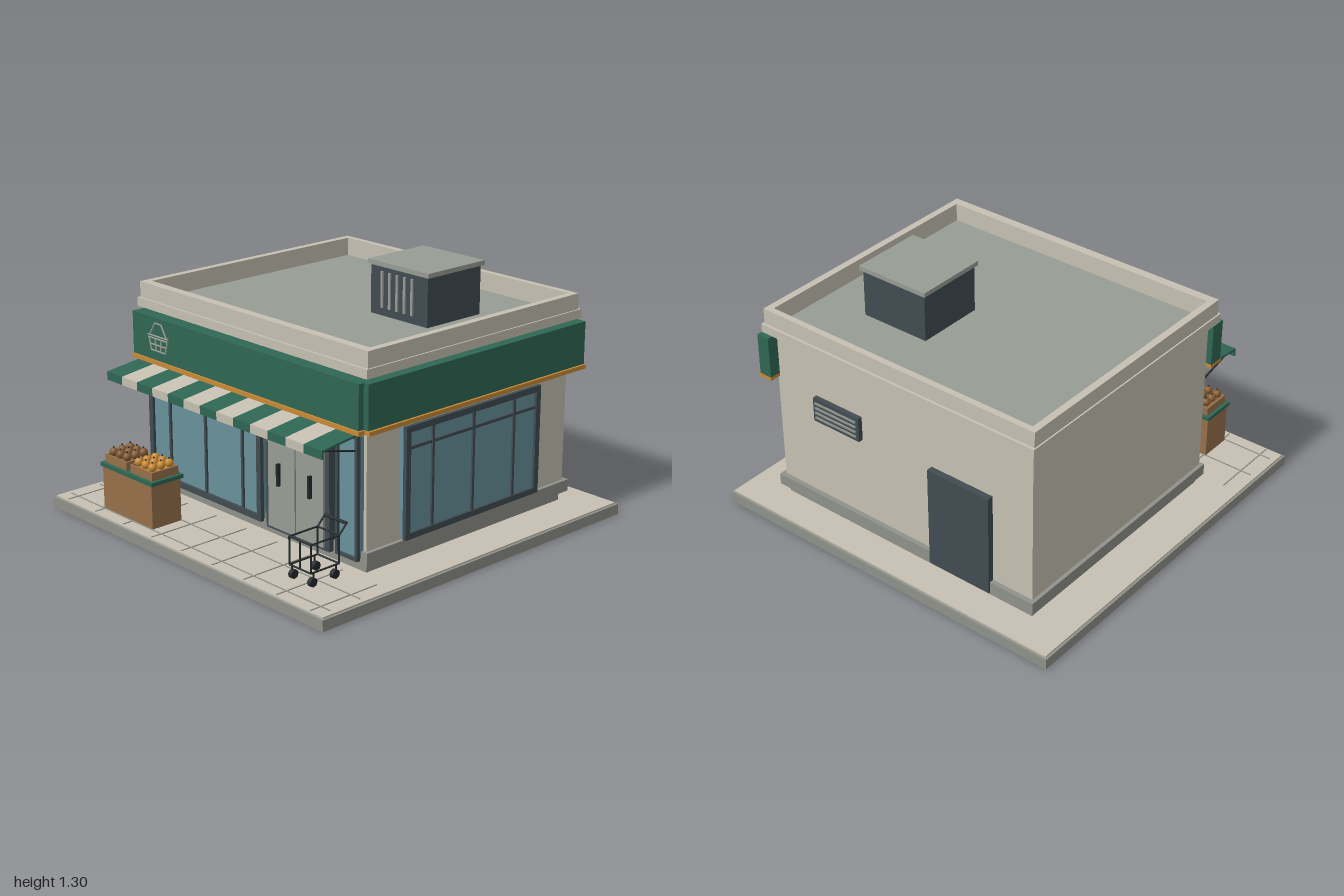
import * as THREE from 'three';

const mat = (name, color) => {
  const m = new THREE.MeshStandardMaterial({ color });
  m.name = name;
  return m;
};

export function createModel() {
  const M = {
    wall: mat('warm stone', 0xc6c0b2),
    concrete: mat('concrete grey', 0x8f918a),
    roof: mat('panel grey', 0x979c93),
    green: mat('shop green', 0x2f6654),
    orange: mat('orange trim', 0xc98a35),
    slate: mat('dark slate', 0x414c51),
    glass: mat('blue glass', 0x67909b),
    wood: mat('crate wood', 0x96704a),
    metal: mat('black metal', 0x24292c),
    brown: mat('brown fruit', 0x845c36),
  };
  const root = new THREE.Group();
  root.name = 'groceryShop';

  const group = (name, parent = root) => {
    const g = new THREE.Group();
    g.name = name;
    parent.add(g);
    return g;
  };
  const add = (parent, name, geo, material) => {
    const m = new THREE.Mesh(geo, material);
    m.name = name;
    parent.add(m);
    return m;
  };
  // Box given by its limits along each axis
  const box = (parent, name, material, x0, x1, y0, y1, z0, z1) => {
    const m = add(parent, name, new THREE.BoxGeometry(x1 - x0, y1 - y0, z1 - z0), material);
    m.position.set((x0 + x1) / 2, (y0 + y1) / 2, (z0 + z1) / 2);
    return m;
  };
  // Round bar between two points
  const bar = (parent, name, material, a, b, r = 0.005) => {
    const p = new THREE.Vector3(...a), q = new THREE.Vector3(...b);
    const m = add(parent, name, new THREE.CylinderGeometry(r, r, p.distanceTo(q), 8), material);
    m.position.copy(p).add(q).multiplyScalar(0.5);
    m.quaternion.setFromUnitVectors(new THREE.Vector3(0, 1, 0), q.sub(p).normalize());
    return m;
  };

  // Pavement slab with joints
  const ground = group('pavement');
  box(ground, 'slab', M.concrete, -1, 1, 0, 0.054, -1, 1);
  box(ground, 'paving', M.wall, -0.988, 0.988, 0.054, 0.062, -0.988, 0.988);
  for (const z of [0.74, 0.92]) box(ground, 'longJoint', M.concrete, -0.96, 0.96, 0.06, 0.065, z - 0.003, z + 0.003);
  for (let i = -4; i <= 4; i++) box(ground, 'crossJoint', M.concrete, i * 0.225 - 0.003, i * 0.225 + 0.003, 0.06, 0.065, 0.58, 0.98);

  // Building shell
  const shell = group('building');
  box(shell, 'foundation', M.concrete, -0.77, 0.77, 0.06, 0.12, -0.81, 0.52);
  box(shell, 'plinth', M.concrete, -0.8, 0.8, 0.11, 0.17, -0.845, 0.545);
  box(shell, 'walls', M.wall, -0.78, 0.78, 0.17, 1.01, -0.82, 0.53);
  box(shell, 'roofDeck', M.roof, -0.79, 0.79, 1.005, 1.035, -0.83, 0.52);

  // Parapet: two stepped rings around the roof
  const ring = (name, x, zBack, zFront, y0, y1) => {
    const rect = (P, w, b, f) => new P([[-w, -f], [w, -f], [w, -b], [-w, -b]].map(p => new THREE.Vector2(...p)));
    const s = rect(THREE.Shape, x, zBack, zFront);
    s.holes.push(rect(THREE.Path, 0.775, -0.82, 0.51));
    const m = add(shell, name, new THREE.ExtrudeGeometry(s, { depth: y1 - y0, bevelEnabled: false }), M.wall);
    m.rotation.x = -Math.PI / 2;
    m.position.y = y0;
  };
  ring('parapetBase', 0.82, -0.867, 0.57, 1.005, 1.05);
  ring('parapet', 0.812, -0.853, 0.557, 1.05, 1.13);

  // Roof air unit with grille
  const air = group('airUnit');
  box(air, 'airBox', M.slate, 0.13, 0.51, 1.03, 1.28, -0.48, -0.12);
  box(air, 'airCap', M.roof, 0.118, 0.525, 1.28, 1.303, -0.492, -0.108);
  for (let i = 0; i < 5; i++) {
    const x = 0.21 + i * 0.05;
    box(air, 'grilleSlat', M.roof, x - 0.007, x + 0.007, 1.075, 1.255, -0.121, -0.112);
  }

  // Fascia on the front and the left side
  const fascia = group('fascia');
  box(fascia, 'frontFascia', M.green, -0.81, 0.81, 0.772, 0.99, 0.53, 0.61);
  box(fascia, 'sideFascia', M.green, 0.77, 0.84, 0.772, 0.99, -0.88, 0.58);
  box(fascia, 'frontTrim', M.orange, -0.81, 0.82, 0.753, 0.774, 0.53, 0.62);
  box(fascia, 'sideTrim', M.orange, 0.77, 0.852, 0.753, 0.774, -0.88, 0.585);

  // Raised basket ornament
  const basket = group('basketOrnament');
  const bz = 0.617, strip = (a, b) => bar(basket, 'basketBar', M.roof, [...a, bz], [...b, bz], 0.0045);
  const cx = -0.6;
  strip([cx - 0.08, 0.9], [cx + 0.08, 0.9]);
  strip([cx - 0.075, 0.887], [cx + 0.075, 0.887]);
  strip([cx - 0.055, 0.825], [cx + 0.055, 0.825]);
  strip([cx - 0.064, 0.855], [cx + 0.064, 0.855]);
  for (const t of [-1, -0.33, 0.33, 1]) strip([cx + t * 0.072, 0.89], [cx + t * 0.055, 0.825]);
  for (const s of [-1, 1]) strip([cx + s * 0.065, 0.9], [cx + s * 0.025, 0.965]);
  strip([cx - 0.025, 0.965], [cx + 0.025, 0.965]);

  // Glazed unit facing +z: glass with a frame and bars in front of it
  const glazing = (name, x0, x1, y0, y1, mullions, transom, t = 0.03) => {
    const g = group(name);
    box(g, 'glass', M.glass, x0 + 0.008, x1 - 0.008, y0 + 0.008, y1 - 0.008, 0, 0.036);
    for (const [a, b] of [[x0, x0 + t], [x1 - t, x1]]) box(g, 'frameSide', M.slate, a, b, y0, y1, 0.03, 0.05);
    for (const [a, b] of [[y0, y0 + t], [y1 - t, y1]]) box(g, 'frameRail', M.slate, x0 + t, x1 - t, a, b, 0.03, 0.05);
    for (const x of mullions) box(g, 'mullion', M.slate, x - 0.007, x + 0.007, y0 + t, y1 - t, 0.03, 0.046);
    if (transom) box(g, 'transom', M.slate, x0 + t, x1 - t, transom - 0.007, transom + 0.007, 0.03, 0.044);
    return g;
  };
  glazing('frontWindow', -0.74, 0.11, 0.13, 0.73, [-0.58, -0.305, -0.03], 0.622).position.z = 0.53;
  glazing('sidelight', 0.625, 0.77, 0.13, 0.73, [], 0, 0.016).position.z = 0.53;
  const sideWindow = glazing('sideWindow', -0.33, 0.58, 0.18, 0.73, [-0.15, 0.12, 0.4], 0.622);
  sideWindow.rotation.y = Math.PI / 2;
  sideWindow.position.x = 0.78;

  // Double entrance door
  const door = group('entranceDoor');
  box(door, 'doorFrame', M.slate, 0.14, 0.577, 0.115, 0.735, 0.53, 0.57);
  for (const [a, b, h] of [[0.168, 0.354, 0.25], [0.363, 0.549, 0.468]]) {
    box(door, 'doorLeaf', M.roof, a, b, 0.132, 0.71, 0.565, 0.582);
    box(door, 'doorHandle', M.metal, h - 0.007, h + 0.007, 0.355, 0.465, 0.582, 0.6);
  }

  // Striped awning: sloped top, hanging valance and braces
  const awning = group('awning');
  const side = new THREE.Shape([[0.56, 0.752], [0.8, 0.722], [0.8, 0.68], [0.792, 0.68], [0.792, 0.712], [0.56, 0.741]].map(p => new THREE.Vector2(...p)));
  for (let i = 0; i < 13; i++) {
    const stripe = add(awning, 'awningStripe', new THREE.ExtrudeGeometry(side, { depth: 0.12, bevelEnabled: false }), i % 2 ? M.wall : M.green);
    stripe.rotation.y = -Math.PI / 2;
    stripe.position.x = -0.66 + i * 0.12;
    // profile is drawn in z and y, so mirror it to run forwards
    stripe.position.z = 0;
  }
  for (const x of [-0.755, 0.755]) bar(awning, 'awningBrace', M.metal, [x, 0.648, 0.53], [x, 0.712, 0.79]);

  // Rear service door and louvred vent
  const rear = group('rearWall');
  box(rear, 'serviceDoor', M.slate, -0.55, -0.19, 0.11, 0.65, -0.853, -0.82);
  box(rear, 'ventPanel', M.slate, 0.24, 0.53, 0.61, 0.74, -0.845, -0.82);
  for (let i = 0; i < 4; i++) {
    const y = 0.635 + i * 0.027;
    box(rear, 'ventLouvre', M.concrete, 0.255, 0.515, y - 0.004, y + 0.004, -0.853, -0.844);
  }

  // Produce stand with two crates of fruit
  const stand = group('produceStand');
  box(stand, 'standBody', M.wood, -0.685, -0.298, 0.062, 0.285, 0.74, 0.915);
  box(stand, 'standTop', M.green, -0.695, -0.286, 0.283, 0.303, 0.73, 0.922);
  const fruitGeo = new THREE.SphereGeometry(0.022, 12, 8);
  for (const [x, fruit] of [[-0.591, M.brown], [-0.39, M.orange]]) {
    const x0 = x - 0.085, x1 = x + 0.085, z0 = 0.745, z1 = 0.905;
    box(stand, 'crateFloor', fruit, x0 + 0.01, x1 - 0.01, 0.3, 0.33, z0 + 0.01, z1 - 0.01);
    for (const [a, b] of [[x0, x0 + 0.01], [x1 - 0.01, x1]]) box(stand, 'crateEnd', M.wood, a, b, 0.3, 0.345, z0, z1);
    for (const [a, b] of [[z0, z0 + 0.01], [z1 - 0.01, z1]]) box(stand, 'crateSide', M.wood, x0 + 0.01, x1 - 0.01, 0.3, 0.345, a, b);
    for (let i = 0; i < 9; i++) {
      const px = x + ((i % 3) - 1) * 0.053, pz = 0.825 + (Math.floor(i / 3) - 1) * 0.05;
      add(stand, 'fruit', fruitGeo, fruit).position.set(px, 0.359, pz);
      bar(stand, 'fruitStem', M.metal, [px, 0.378, pz], [px, 0.386, pz], 0.004);
    }
  }

  // Shopping cart of round bars
  const cart = group('shoppingCart');
  const rod = (a, b) => bar(cart, 'cartBar', M.metal, a, b, 0.0045);
  const xs = [0.64, 0.782], zs = [0.7, 0.87];
  for (const y of [0.165, 0.3]) {
    for (const x of xs) rod([x, y, zs[0]], [x, y, zs[1]]);
    for (const z of zs) rod([xs[0], y, z], [xs[1], y, z]);
  }
  for (const x of xs) {
    for (const z of zs) rod([x, 0.165, z], [x, 0.3, z]);
    rod([x, 0.3, zs[0]], [x, 0.345, 0.655]);
    for (const z of [0.72, 0.855]) {
      rod([x, 0.165, z], [x, 0.12, z]);
      const inner = x < 0.7 ? 0.008 : -0.008;
      bar(cart, 'cartWheel', M.metal, [x + inner - 0.011, 0.118, z], [x + inner + 0.011, 0.118, z], 0.022);
    }
  }
  rod([0.711, 0.165, zs[1]], [0.711, 0.3, zs[1]]);
  bar(cart, 'cartHandle', M.metal, [xs[0], 0.345, 0.655], [xs[1], 0.345, 0.655], 0.008);

  return root;
}
